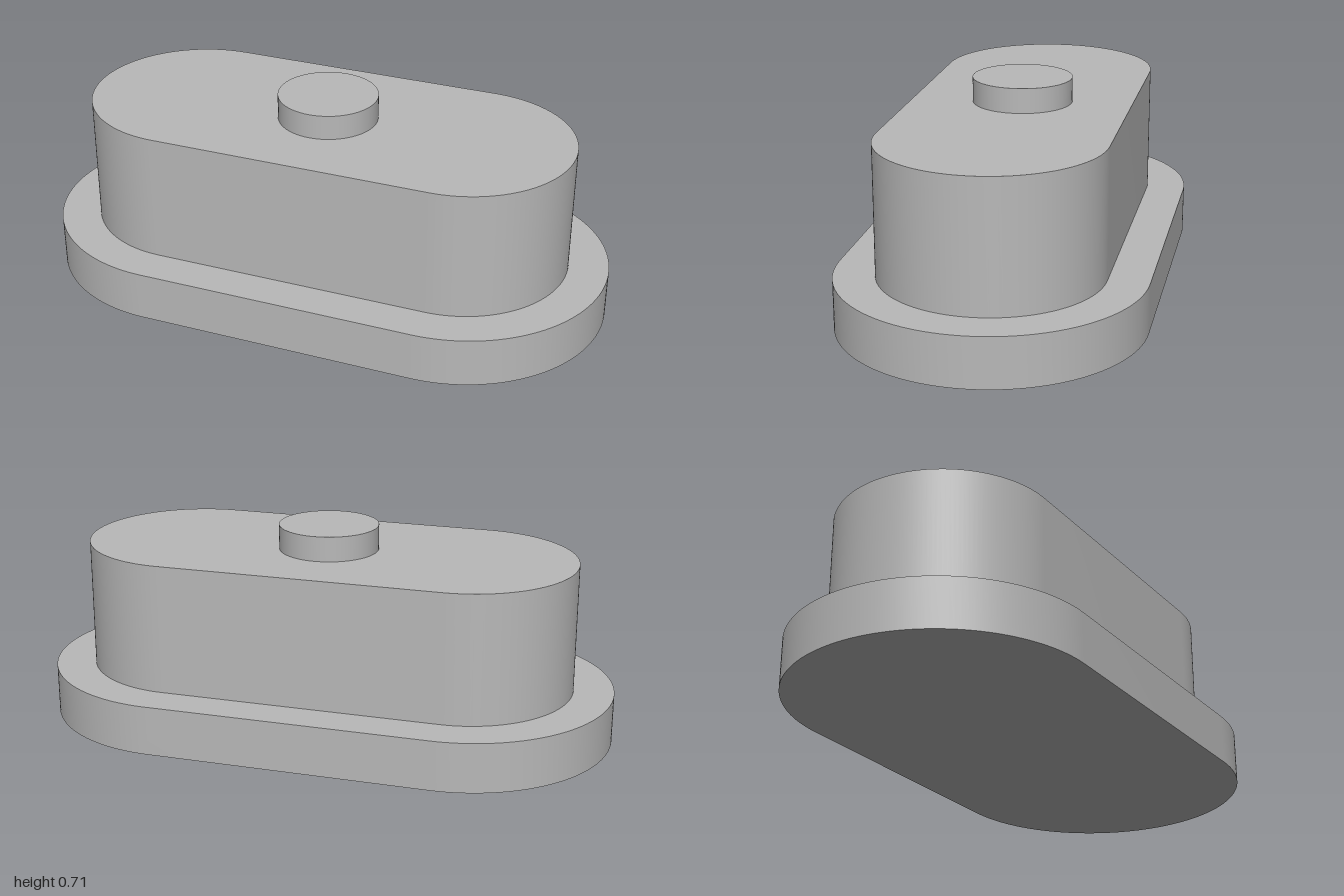
import * as THREE from 'three';
import { toCreasedNormals } from 'three/addons/utils/BufferGeometryUtils.js';

// Half the distance between the centres of the rounded ends
const END_X = 0.483;

// Upright slab with straight sides and semicircular ends
function stadium(radius, height) {
  const shape = new THREE.Shape();
  shape.absarc(END_X, 0, radius, -Math.PI / 2, Math.PI / 2, false);
  shape.absarc(-END_X, 0, radius, Math.PI / 2, Math.PI * 1.5, false);
  shape.closePath();
  const geometry = new THREE.ExtrudeGeometry(shape, {
    depth: height, bevelEnabled: false, curveSegments: 40,
  });
  geometry.rotateX(-Math.PI / 2);
  return toCreasedNormals(geometry, Math.PI / 6);
}

export function createModel() {
  const model = new THREE.Group();
  model.name = 'steppedOblongBlock';

  const grey = new THREE.MeshStandardMaterial({ color: 0xb8b8b8 });
  grey.name = 'grey';

  function add(name, geometry, y) {
    const mesh = new THREE.Mesh(geometry, grey);
    mesh.name = name;
    mesh.position.y = y;
    model.add(mesh);
  }

  // Wide flange, taller body on top of it, small round boss in the middle
  add('baseFlange', stadium(0.517, 0.172), 0);
  add('body', stadium(0.379, 0.449), 0.172);
  add('topBoss', new THREE.CylinderGeometry(0.172, 0.172, 0.086, 64), 0.664);

  return model;
}
